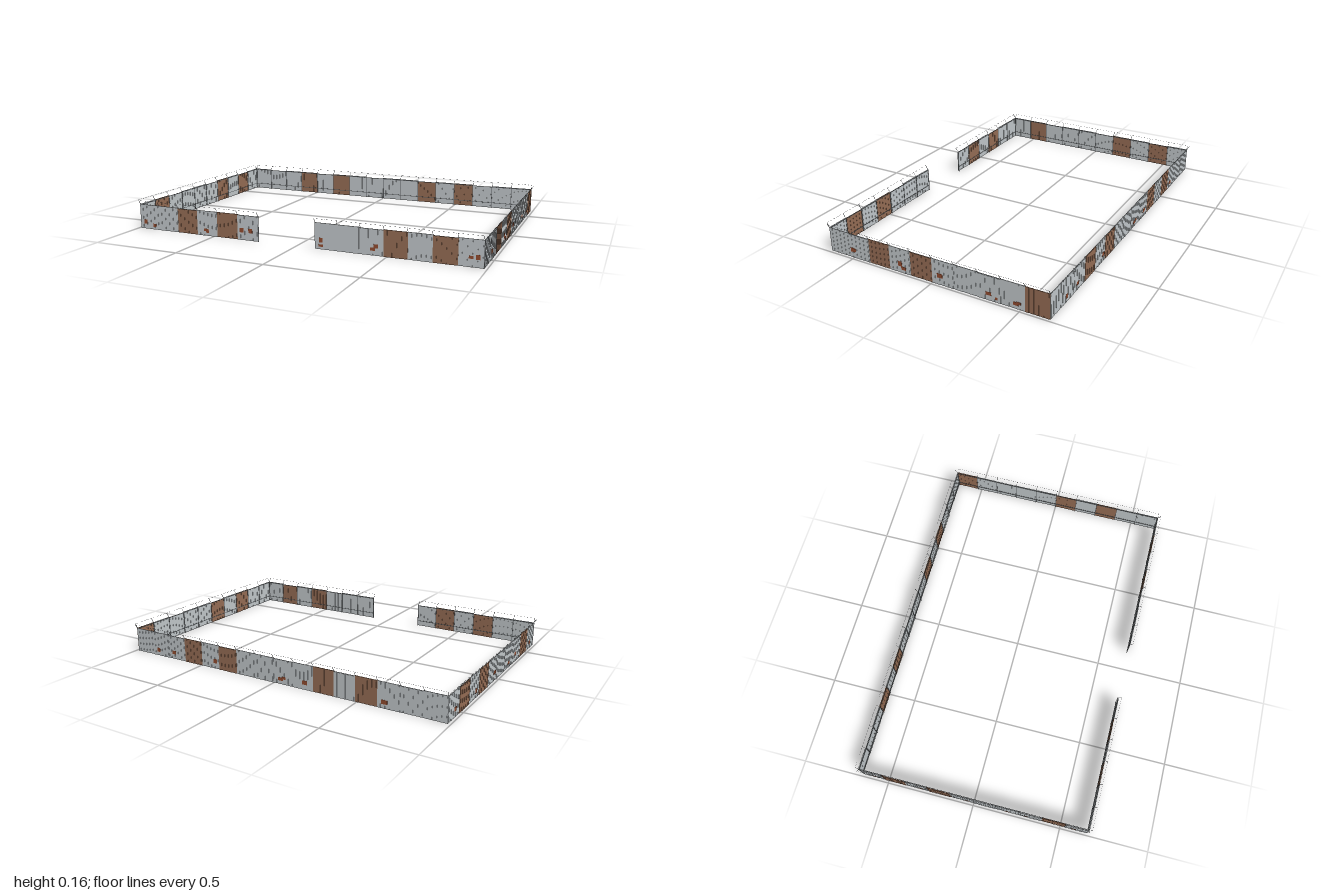
import * as THREE from 'three';

const mat = (name, color) => {
  const m = new THREE.MeshStandardMaterial({ color });
  m.name = name;
  return m;
};

export function createModel() {
  const sheetGrey = mat('galvanised sheet', 0xbfc5c8);
  const rustBrown = mat('rusted sheet', 0x936b53);
  const rustRed = mat('rust patch', 0x8f4a2e);
  const steel = mat('frame steel', 0x5c6063);
  const wireGrey = mat('wire', 0x8c9194);

  const HX = 0.985, HZ = 0.655, H = 0.14;
  const OUT = 0.014, RISE = 0.023; // reach of the leaning wire arms
  const model = new THREE.Group();
  model.name = 'sheetMetalCompoundFence';

  const box = (parent, name, m, w, h, d, x, y, z) => {
    const b = new THREE.Mesh(new THREE.BoxGeometry(w, h, d), m);
    b.name = name;
    b.position.set(x, y, z);
    parent.add(b);
    return b;
  };

  // One straight run: local x along the wall, +z outwards
  function fenceRun(name, length, count, rusted, lowRemainder, patches) {
    const g = new THREE.Group();
    g.name = name;
    const w = length / count;

    // Ribbed sheets, overlapping in depth; every third is slightly shorter
    for (let i = 0; i < count; i++) {
      const h = i % 3 === lowRemainder ? H - 0.005 : H - 0.001;
      const m = rusted.includes(i) ? rustBrown : sheetGrey;
      const y = h / 2 + 0.001, z = i % 2 ? 0.0006 : -0.0006;
      box(g, 'sheet', m, w, h, 0.0016, (i + 0.5) * w, y, z);
      for (let r = 0; r < 5; r++)
        box(g, 'sheetRib', m, w * 0.1, h, 0.004, (i + (r + 0.5) / 5) * w, y, z);
    }

    // Inside posts, each with an arm leaning outwards
    for (let i = 0; i <= count; i++) {
      const x = Math.min(Math.max(i * w, 0.0015), length - 0.0015);
      box(g, 'post', steel, 0.003, H, 0.002, x, H / 2, -0.0038);
      const arm = box(g, 'wireArm', steel, 0.0015, Math.hypot(OUT, RISE), 0.0015,
        x, H + RISE / 2, OUT / 2);
      arm.rotation.x = Math.atan2(OUT, RISE);
    }

    // Horizontal rails
    for (const y of [0.033, 0.135])
      box(g, 'rail', steel, length, 0.003, 0.002, length / 2, y, -0.0036);

    // Wire strand with small barbs along the arm tips
    box(g, 'wire', wireGrey, length, 0.0006, 0.0006, length / 2, H + RISE, OUT);
    for (let x = 0.02; x < length; x += 0.04) {
      const barb = box(g, 'barb', wireGrey, 0.0006, 0.004, 0.0006, x, H + RISE, OUT);
      barb.rotation.x = Math.PI / 4;
    }

    // Rust patches: [along, height, width, tall]
    for (const [x, y, pw, ph] of patches)
      box(g, 'rustPatch', rustRed, pw, ph, 0.001, x, y, 0.003);

    model.add(g);
    return g;
  }

  // Front, either side of the opening
  fenceRun('frontWallRight', 0.765, 6, [2, 4], 2, [
    [0.035, 0.042, 0.02, 0.025], [0.095, 0.025, 0.02, 0.018],
    [0.44, 0.033, 0.03, 0.014], [0.448, 0.025, 0.018, 0.014],
    [0.664, 0.055, 0.024, 0.024], [0.717, 0.055, 0.024, 0.024],
  ]).position.set(-HX, 0, HZ);
  fenceRun('frontWallLeft', 0.875, 7, [3, 5], 2, [
    [0.035, 0.05, 0.02, 0.024], [0.035, 0.021, 0.024, 0.012],
    [0.318, 0.034, 0.024, 0.016], [0.335, 0.05, 0.022, 0.02],
    [0.812, 0.05, 0.022, 0.014], [0.846, 0.053, 0.022, 0.024],
  ]).position.set(0.11, 0, HZ);

  // Left side wall (+x)
  const left = fenceRun('leftWall', 2 * HZ, 10, [2, 4, 9], 1, [
    [0.15, 0.047, 0.024, 0.024], [0.164, 0.047, 0.016, 0.016],
    [0.459, 0.052, 0.024, 0.028], [0.48, 0.029, 0.028, 0.018],
    [0.702, 0.053, 0.032, 0.024], [0.982, 0.039, 0.03, 0.018],
    [1.025, 0.023, 0.014, 0.014], [1.13, 0.03, 0.028, 0.018],
    [1.146, 0.036, 0.022, 0.014],
  ]);
  left.position.set(HX, 0, HZ);
  left.rotation.y = Math.PI / 2;

  // Back wall
  const back = fenceRun('backWall', 2 * HX, 16, [3, 5, 10, 12], 2, [
    [0.165, 0.035, 0.022, 0.024], [0.285, 0.04, 0.026, 0.02],
    [0.59, 0.045, 0.024, 0.024], [1.03, 0.03, 0.03, 0.018],
    [1.05, 0.038, 0.022, 0.014], [1.18, 0.04, 0.03, 0.022],
    [1.64, 0.035, 0.034, 0.022],
  ]);
  back.position.set(HX, 0, -HZ);
  back.rotation.y = Math.PI;

  // Right side wall (-x)
  const right = fenceRun('rightWall', 2 * HZ, 10, [1, 3, 8], 1, [
    [0.08, 0.045, 0.026, 0.022], [0.35, 0.04, 0.024, 0.024],
    [0.62, 0.05, 0.03, 0.022], [0.85, 0.03, 0.026, 0.018],
    [0.96, 0.05, 0.024, 0.02], [1.23, 0.04, 0.026, 0.022],
  ]);
  right.position.set(-HX, 0, -HZ);
  right.rotation.y = -Math.PI / 2;

  return model;
}
